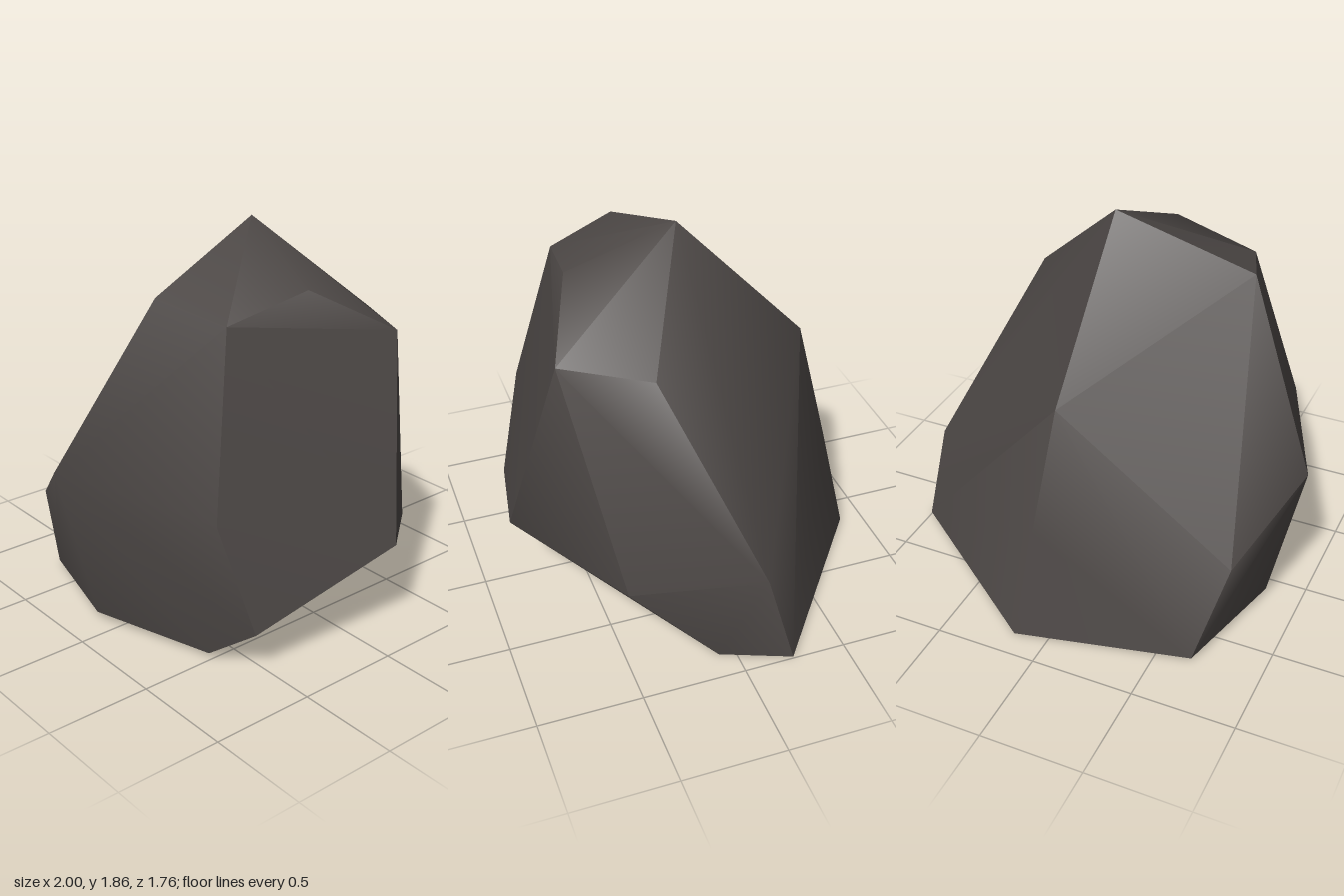
import * as THREE from 'three';
import { toCreasedNormals } from 'three/addons/utils/BufferGeometryUtils.js';
import { ConvexGeometry } from 'three/addons/geometries/ConvexGeometry.js';

export function createModel() {
  const group = new THREE.Group();
  group.name = 'rock';

  const darkStone = new THREE.MeshStandardMaterial({ color: 0x4d4846 });
  darkStone.name = 'darkStone';

  // Corners of the boulder, from the ground up
  const base = [
    [-0.63, 0.02, 0.48], [-0.83, 0.04, -0.12], [-0.67, 0.02, -0.70],
    [0.16, 0.01, -0.88], [1.0, 0.01, -0.24], [0.86, 0, 0.08], [-0.16, 0, 0.27],
  ];
  const frontLip = [[-0.58, 0.22, 0.75], [0.15, 0.47, 0.88], [0.65, 0.3, 0.45]];
  const waist = [
    [0.955, 0.47, -0.12], [-0.69, 0.74, 0.62], [-1.0, 0.81, -0.16],
    [-0.8, 0.5, -0.58], [0.1, 0.56, -0.77],
  ];
  const crown = [
    [0.03, 1.17, -0.64], [0.33, 1.41, 0.66], [0.54, 1.38, 0.27],
    [-0.49, 1.55, 0.45], [-0.61, 1.62, 0.11], [-0.07, 1.64, 0.5], [0.03, 1.86, 0],
  ];
  const corners = [...base, ...frontLip, ...waist, ...crown].map((p) => new THREE.Vector3(...p));

  // Soft facets with sharp ridges only where the stone turns steeply
  const geometry = toCreasedNormals(new ConvexGeometry(corners), THREE.MathUtils.degToRad(50));
  const boulder = new THREE.Mesh(geometry, darkStone);
  boulder.name = 'boulder';
  group.add(boulder);
  return group;
}
